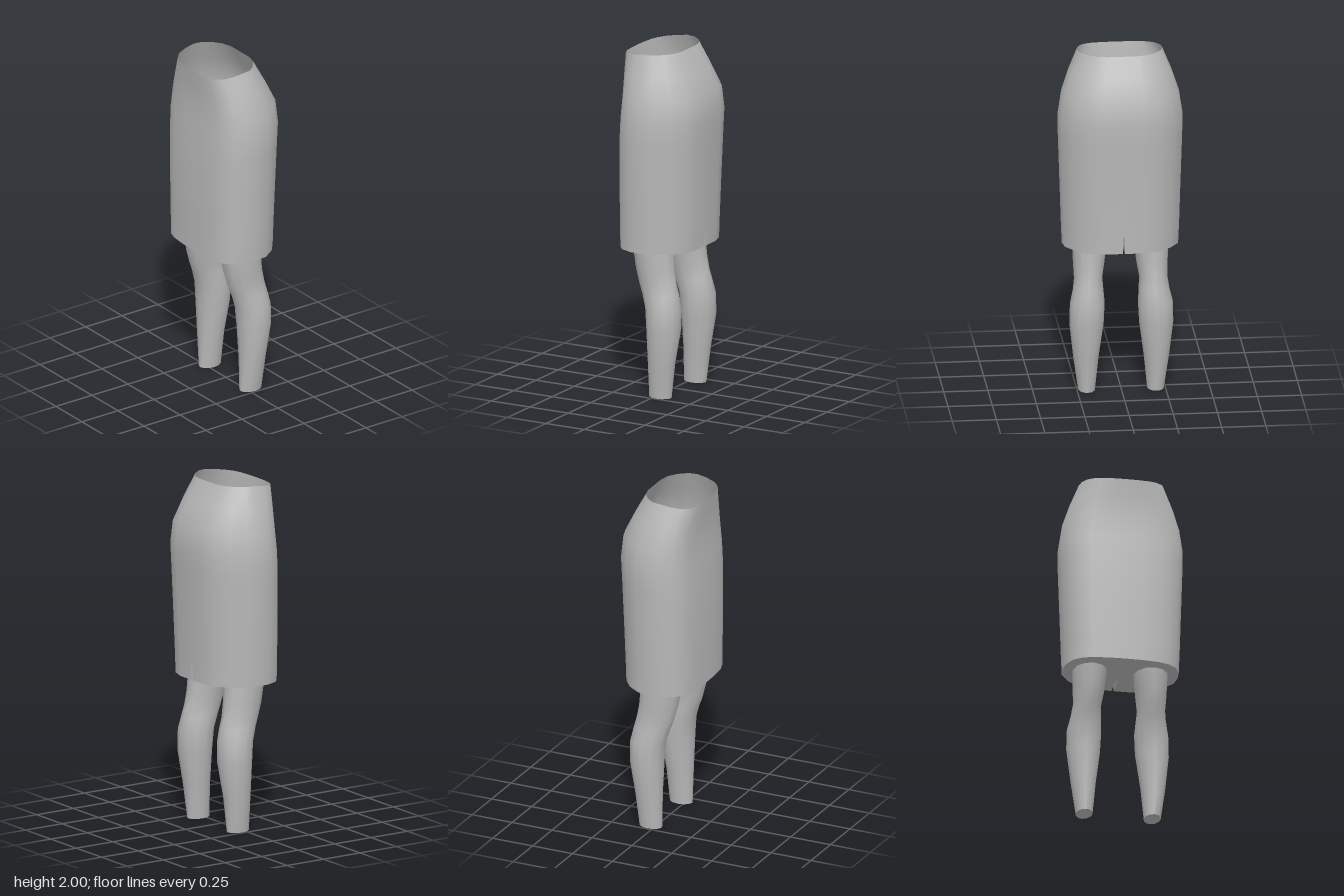
import * as THREE from 'three';
import { toCreasedNormals } from 'three/addons/utils/BufferGeometryUtils.js';

const grey = new THREE.MeshStandardMaterial({ color: 0xb8b8b8, side: THREE.DoubleSide });
grey.name = 'grey';

function addMesh(parent, name, geometry) {
  const mesh = new THREE.Mesh(geometry, grey);
  mesh.name = name;
  parent.add(mesh);
  return mesh;
}

// Skins a stack of rings (bottom to top), each an array of Vector3 running counter-clockwise from above
function loft(rings, closed, crease) {
  const n = rings[0].length, index = [];
  const geometry = new THREE.BufferGeometry().setFromPoints(rings.flat());
  for (let r = 0; r < rings.length - 1; r++) {
    for (let i = 0; i < (closed ? n : n - 1); i++) {
      const a = r * n + i, b = r * n + (i + 1) % n;
      index.push(a, b, b + n, a, b + n, a + n);
    }
  }
  geometry.setIndex(index);
  return toCreasedNormals(geometry, crease);
}

// Flat horizontal lid across a ring
function lid(ring, up) {
  const shape = new THREE.Shape(ring.map(p => new THREE.Vector2(p.x, -p.z)));
  const geometry = new THREE.ShapeGeometry(shape).rotateX(-Math.PI / 2);
  geometry.translate(0, ring[0].y, 0);
  if (!up) {
    const idx = geometry.index.array;
    for (let i = 0; i < idx.length; i += 3) [idx[i], idx[i + 1]] = [idx[i + 1], idx[i]];
    geometry.computeVertexNormals();
  }
  return geometry;
}

// Half outline of the skirt, back to front: share of half width, share of depth
const halfOutline = [[0.35, -1], [0.6, -0.9], [0.81, -0.66], [0.97, -0.33], [1, 0],
  [0.98, 0.33], [0.89, 0.66], [0.74, 0.85], [0.57, 0.94], [0.29, 0.985]];

// Skirt levels: height, half width, middle z, front z, back z, half gap of the back slit
const skirtLevels = [
  [0.86, 0.33, 0.03, 0.235, -0.205, 0.007],
  [0.98, 0.335, 0.03, 0.235, -0.208, 0],
  [1.2, 0.342, 0.03, 0.235, -0.216, 0],
  [1.5, 0.352, 0.03, 0.23, -0.228, 0],
  [1.62, 0.353, 0.03, 0.222, -0.235, 0],
  [1.75, 0.333, 0.035, 0.215, -0.225, 0],
  [1.87, 0.293, 0.04, 0.222, -0.168, 0],
  [2, 0.24, 0.05, 0.235, -0.1, 0],
];

function skirtRing([y, width, zMid, zFront, zBack, gap]) {
  const dip = y === 2 ? 0.025 : 0; // waist edge sinks at the front
  const point = (u, w, side) => new THREE.Vector3(side * u * width, y - dip * Math.max(0, w),
    zMid + (w > 0 ? w * (zFront - zMid) : w * (zMid - zBack)));
  // From the back slit along the right side, over the front and back along the left side
  const half = side => [[gap / width, -1], ...halfOutline].map(([u, w]) => point(u, w, side));
  return [...half(-1), point(0, 1, 1), ...half(1).reverse()];
}

// Leg levels: height, inner x, outer x, front z, back z
const legLevels = [
  [0, 0.147, 0.243, 0.04, -0.097],
  [0.2, 0.127, 0.272, 0.041, -0.117],
  [0.4, 0.1, 0.294, 0.048, -0.15],
  [0.52, 0.094, 0.291, 0.058, -0.15],
  [0.6, 0.1, 0.272, 0.085, -0.135],
  [0.66, 0.104, 0.264, 0.108, -0.12],
  [0.74, 0.09, 0.268, 0.13, -0.105],
  [0.86, 0.076, 0.272, 0.15, -0.095],
  [0.9, 0.07, 0.272, 0.157, -0.092],
];

function legRing([y, inner, outer, front, back], side) {
  const count = 12;
  return Array.from({ length: count }, (_, i) => {
    const a = side * i / count * Math.PI * 2;
    const x = (inner + outer) / 2 + (outer - inner) / 2 * Math.cos(a) * side;
    return new THREE.Vector3(side * x, y, (front + back) / 2 - (front - back) / 2 * Math.sin(a) * side);
  });
}

export function createModel() {
  const model = new THREE.Group();
  model.name = 'skirtAndLegs';

  // Skirt shell, open at the waist
  const skirt = new THREE.Group();
  skirt.name = 'skirt';
  model.add(skirt);
  const rings = skirtLevels.map(skirtRing);
  addMesh(skirt, 'skirtShell', loft(rings, false, 0.65));

  // Back slit folded inwards, and the closed underside notched around it
  const hem = rings[0];
  const fold = new THREE.Vector3(0, hem[0].y, -0.01);
  const apex = rings[1][0];
  const slit = new THREE.BufferGeometry().setFromPoints(
    [apex, hem[0], fold, apex, fold, hem[hem.length - 1]]);
  slit.computeVertexNormals();
  addMesh(skirt, 'backSlit', slit);
  addMesh(skirt, 'underside', lid([...hem, fold], false));

  // Legs
  for (const side of [-1, 1]) {
    const leg = new THREE.Group();
    leg.name = side > 0 ? 'leftLeg' : 'rightLeg';
    model.add(leg);
    const levels = legLevels.map(level => legRing(level, side));
    // Keep every ring counter-clockwise from above
    const area = THREE.ShapeUtils.area(levels[0].map(p => new THREE.Vector2(p.x, -p.z)));
    if (area < 0) levels.forEach(ring => ring.reverse());
    addMesh(leg, 'legSurface', loft(levels, true, 0.7));
    addMesh(leg, 'ankleEnd', lid(levels[0], false));
    addMesh(leg, 'thighEnd', lid(levels[levels.length - 1], true));
  }
  return model;
}
